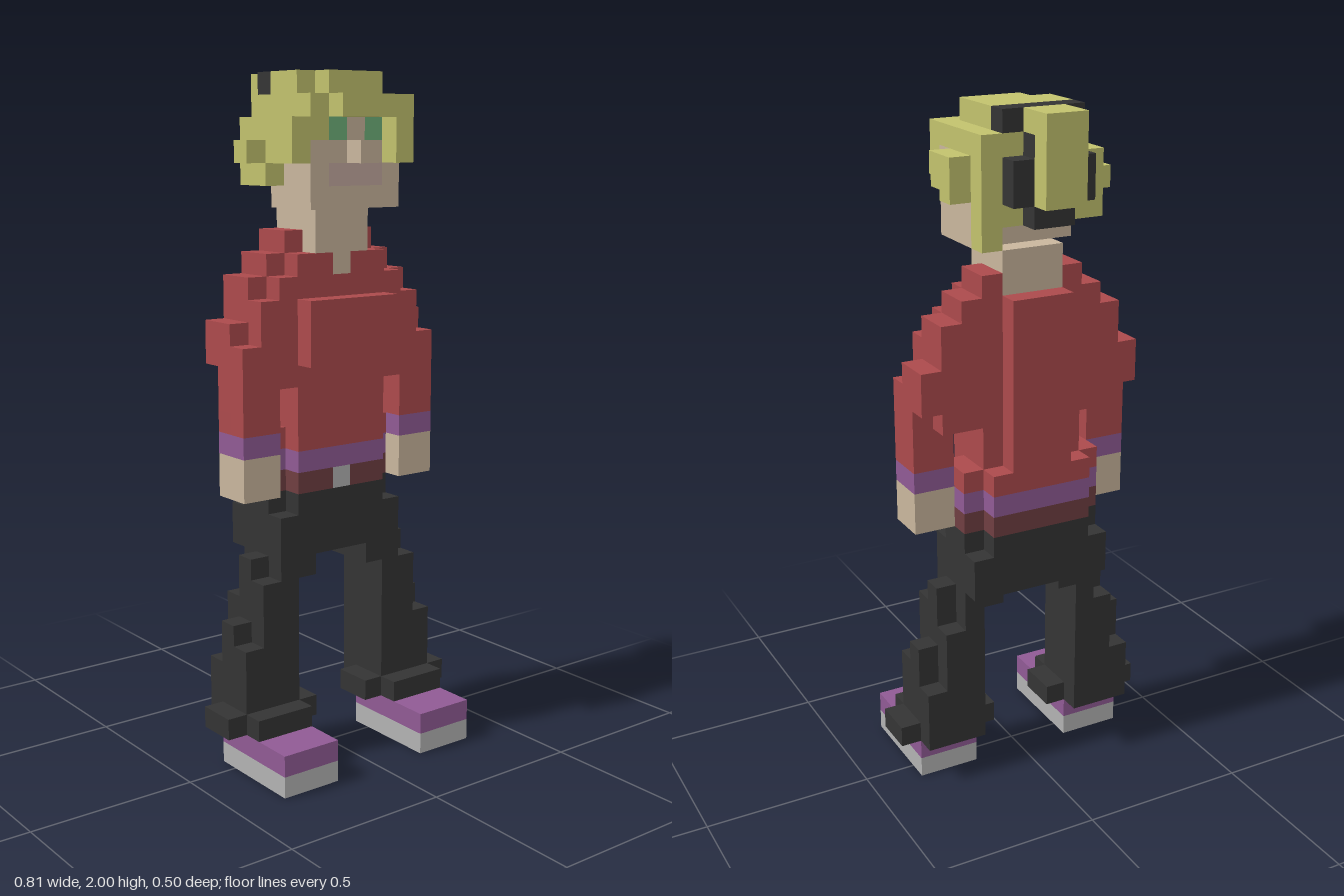
import * as THREE from 'three';
import { mergeGeometries } from 'three/addons/utils/BufferGeometryUtils.js';

const V = 1 / 16; // size of one block
const RED = 0xac4a4c, HAIR = 0xc2c26d, BLACK = 0x343434, PURPLE = 0x905a94, SKIN = 0xc9b69d;
const BELT = 0x6f3e41, GREEN = 0x6fb07a, GREY = 0xb2b2b2, LIP = 0xc4a9a0;

export function createModel() {
  const cells = new Map();
  const parts = new Map();
  const key = (i, j, k) => `${i},${j},${k}`;

  // Fill a block region, x in half-block edges; later fills replace earlier ones
  function fill(name, color, x0, x1, y0, y1, z0, z1) {
    parts.set(name, color);
    for (let i = x0 + 0.5; i < x1; i++)
      for (let j = y0; j < y1; j++)
        for (let k = z0; k < z1; k++) cells.set(key(i, j, k), name);
  }
  function pair(name, color, x0, x1, ...yz) {
    fill('left' + name, color, x0, x1, ...yz);
    fill('right' + name, color, -x1, -x0, ...yz);
  }

  // Shoes
  pair('Sole', GREY, 2.5, 5.5, 0, 1, -1, 4);
  pair('Shoe', PURPLE, 2.5, 5.5, 1, 2, -1, 4);

  // Trouser legs with flared cuffs and stepped outer side
  pair('TrouserCuff', BLACK, 1.5, 6.5, 2, 3, -1, 1);
  pair('TrouserCuff', BLACK, 2.5, 5.5, 2, 3, -2, 2);
  pair('Leg', BLACK, 2.5, 3.5, 3, 10, -2, 1);
  pair('Leg', BLACK, 1.5, 2.5, 9, 10, -2, 1);
  [[4.5, 6], [3.5, 9]].forEach(([x, top], n) => {
    pair('Leg', BLACK, x, x + 1, 3, top, -1, 1);
    pair('Leg', BLACK, x, x + 1, top, top + 1, -1, 0);
    pair('Leg', BLACK, x, x + 1, 3, n ? 8 : 5, -2, -1);
  });

  // Hips
  fill('hips', BLACK, -3.5, 3.5, 10, 12, -3, 1);

  // Waist bands: hips top, belt, shirt hem, shirt bottom
  [['hips', BLACK, 12], ['belt', BELT, 13], ['shirtHem', PURPLE, 14], ['shirt', RED, 15]].forEach(([n, c, y]) => {
    fill(n, c, -2.5, 2.5, y, y + 1, -3, 1);
    fill(n, c, -3.5, 3.5, y, y + 1, -2, 0);
  });
  fill('buckle', GREY, -0.5, 0.5, 13, 14, 0, 1);

  // Shirt body, raised back and chest
  fill('shirt', RED, -2.5, 2.5, 16, 24, -2, 1);
  fill('shirt', RED, -2.5, 2.5, 24, 25, -2, 0);
  fill('shirt', RED, -1.5, 1.5, 16, 24, -3, -2);
  fill('shirt', RED, -2.5, 2.5, 19, 22, 1, 2);

  // Sleeves stepping down from the shoulders
  [[2.5, 18, 23], [3.5, 16, 22], [4.5, 16, 20]].forEach(([x, base, top]) => {
    pair('Sleeve', RED, x, x + 1, base, top, -1, 1);
    pair('Sleeve', RED, x, x + 1, top, top + 1, -1, 0);
    pair('Sleeve', RED, x, x + 1, x > 4 ? 19 : 18, top + 1, -2, -1);
  });
  pair('SleeveCuff', PURPLE, 3.5, 5.5, 15, 16, -1, 1);
  pair('Hand', SKIN, 3.5, 5.5, 14, 15, -1, 1);
  pair('Hand', SKIN, 3.5, 5.5, 13, 14, -1, 0);
  pair('Hand', SKIN, 2.5, 5.5, 13, 14, 0, 1);
  pair('Hand', SKIN, 3.5, 5.5, 13, 15, 0, 1);
  for (const s of [-3, 3]) cells.delete(key(s, 13, 0));

  // Neck and open collar
  fill('neck', SKIN, -1.5, 1.5, 24, 26, -2, 1);
  fill('neck', SKIN, -0.5, 0.5, 23, 24, 0, 1);

  // Head and face
  fill('head', SKIN, -2.5, 2.5, 26, 30, -1, 2);
  fill('mouth', LIP, -1.5, 1.5, 27, 28, 1, 2);
  fill('nose', SKIN, -0.5, 0.5, 28, 29, 2, 3);
  pair('Eye', GREEN, 0.5, 1.5, 29, 30, 1, 2);

  // Hair: crown, back, fringe, side tufts
  fill('hair', HAIR, -2.5, 2.5, 30, 31, -2, 2);
  fill('hair', HAIR, -2.5, 1.5, 31, 32, -1, 1);
  fill('hair', HAIR, -1.5, 1.5, 31, 32, 1, 2);
  fill('hair', HAIR, -2.5, 2.5, 27, 30, -2, -1);
  fill('hair', HAIR, 1.5, 2.5, 26, 27, -2, -1);
  fill('hair', HAIR, -2.5, -1.5, 29, 30, 1, 2);
  fill('fringe', HAIR, -1.5, 2.5, 30, 31, 2, 3);
  fill('fringe', HAIR, 1.5, 2.5, 28, 30, 2, 3);
  fill('leftTuft', HAIR, 2.5, 3.5, 28, 30, -1, 0);
  fill('leftTuft', HAIR, 2.5, 3.5, 29, 30, 0, 1);
  fill('rightTuft', HAIR, -3.5, -2.5, 28, 30, -2, 2);
  fill('rightTuft', HAIR, -3.5, -2.5, 27, 28, -2, 0);
  fill('rightTuft', HAIR, -4.5, -3.5, 28, 29, -1, 0);

  // Hair band and ponytail
  fill('hairBand', BLACK, -2.5, 1.5, 31, 32, -2, -1);
  fill('hairBand', BLACK, -2.5, 1.5, 28, 30, -3, -2);
  fill('hairBand', BLACK, -1.5, 0.5, 27, 31, -3, -2);
  fill('ponytail', HAIR, -1.5, 0.5, 28, 32, -4, -3);
  fill('ponytail', HAIR, -1.5, 0.5, 31, 32, -3, -2);

  // One outward square for each of the six directions
  const h = V / 2, half = Math.PI / 2;
  const square = () => new THREE.PlaneGeometry(V, V).translate(0, 0, h);
  const sides = [
    [0, 0, 1, square()], [0, 0, -1, square().rotateY(Math.PI)],
    [1, 0, 0, square().rotateY(half)], [-1, 0, 0, square().rotateY(-half)],
    [0, 1, 0, square().rotateX(-half)], [0, -1, 0, square().rotateX(half)],
  ];

  // Keep only the exposed squares and merge them part by part
  const faces = new Map();
  for (const [id, name] of cells) {
    const [i, j, k] = id.split(',').map(Number);
    for (const [dx, dy, dz, geo] of sides) {
      if (cells.has(key(i + dx, j + dy, k + dz))) continue;
      if (!faces.has(name)) faces.set(name, []);
      faces.get(name).push(geo.clone().translate(i * V, j * V + h, k * V + h));
    }
  }
  const group = new THREE.Group();
  group.name = 'blockFigure';
  for (const [name, list] of faces) {
    const material = new THREE.MeshStandardMaterial({ color: parts.get(name) });
    const mesh = new THREE.Mesh(mergeGeometries(list), material);
    mesh.name = name;
    group.add(mesh);
  }
  return group;
}
